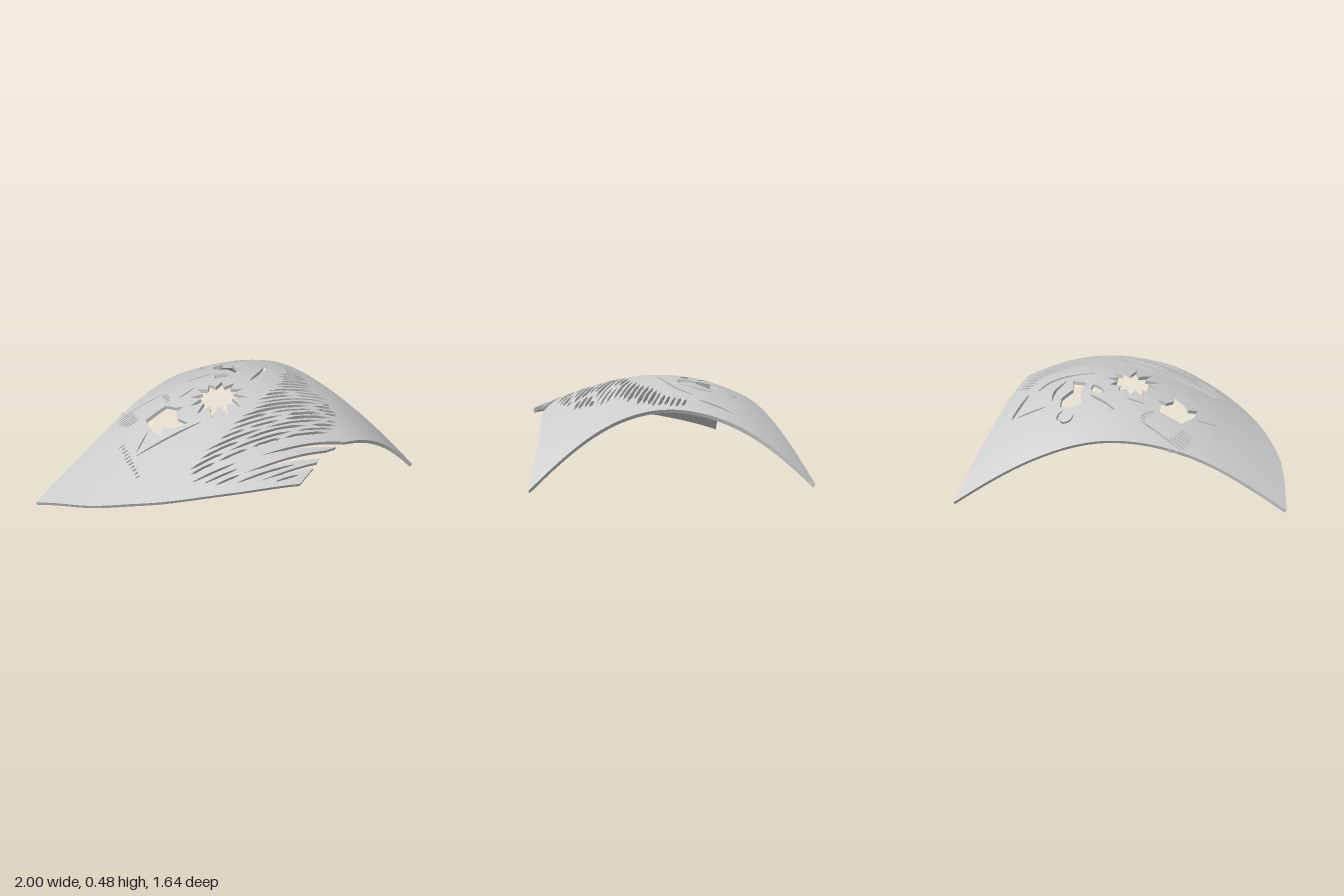
import * as THREE from 'three';

const THICK = 0.02, MAX_EDGE = 0.05;
const V = (x, z) => new THREE.Vector2(x, z);
const pairs = (a) => a.map(([x, z]) => V(x, z));

// small seeded generator
let seed = 7;
const rand = () => (seed = (seed * 16807) % 2147483647) / 2147483647;

// ---- swept edges of the dome and its crest, as x, z, height
const leftEdge = [[.19, .82, .27], [-.1, .77, .255], [-.4, .68, .21], [-.6, .58, .17], [-.8, .43, .12], [-1, .17, .02]];
const rearEdge = [[-1, .17, .02], [-.6, 0, .235], [-.2, -.26, .352], [.1, -.52, .25], [.41, -.82, .015]];
const rightEdge = [[.41, -.82, .015], [.44, -.55, .235], [.5, -.3, .345], [.6, -.03, .37], [.75, .2, .275], [1, .46, .01]];
const frontEdge = [[1, .46, .01], [.8, .5, .2], [.53, .6, .32]];
const crest = [[.2, .12, .475], [-.2, .1, .42], [-.4, .12, .345], [.4, .15, .45], [.25, .4, .43], [.22, .6, .365],
  [.28, -.4, .335], [-.4, .4, .315], [-.8, .25, .127], [.62, .2, .37]];

// ---- dome height: smooth polynomial fitted through those points
const terms = (x, z) => [1, x, z, x * x, x * z, z * z, x ** 3, x * x * z, x * z * z, z ** 3, x ** 4, x * x * z * z, z ** 4];

function fitDome(samples) {
  const n = terms(0, 0).length;
  const M = Array.from({ length: n }, (_, i) => Array.from({ length: n + 1 }, (_, j) => (i === j ? 1e-5 : 0)));
  for (const [x, z, y] of samples) {
    const t = terms(x, z);
    for (let i = 0; i < n; i++) {
      for (let j = 0; j < n; j++) M[i][j] += t[i] * t[j];
      M[i][n] += t[i] * y;
    }
  }
  for (let i = 0; i < n; i++) {
    for (let r = 0; r < n; r++) {
      if (r === i) continue;
      const f = M[r][i] / M[i][i];
      for (let c = i; c <= n; c++) M[r][c] -= f * M[i][c];
    }
  }
  return M.map((row, i) => row[n] / row[i]);
}
const coef = fitDome([leftEdge, rearEdge, rightEdge, frontEdge, crest].flat());
const height = (x, z) => terms(x, z).reduce((s, t, i) => s + t * coef[i], 0);
function normalAt(p) {
  const e = 0.002;
  return new THREE.Vector3(
    (height(p.x - e, p.y) - height(p.x + e, p.y)) / (2 * e), 1,
    (height(p.x, p.y - e) - height(p.x, p.y + e)) / (2 * e)).normalize();
}
const topAt = (p) => new THREE.Vector3(p.x, height(p.x, p.y), p.y);
const bottomAt = (p) => topAt(p).addScaledVector(normalAt(p), -THICK);

// ---- plan outline: the swept edges, then a ragged fringe at the front
function outline() {
  const sweep = (a) => new THREE.SplineCurve(pairs(a)).getPoints(24).slice(0, -1);
  const fringe = pairs([[.53, .6], [.05, .625], [.46, .64], [.4, .66], [-.05, .685], [.34, .705], [.32, .725], [0, .75], [.29, .752]]);
  return [leftEdge, rearEdge, rightEdge, frontEdge].flatMap(sweep).concat(fringe);
}

// tapered slit along a path
function slit(path, half) {
  const curve = new THREE.SplineCurve(pairs(path)), n = path.length > 2 ? 12 : 5;
  const a = [], b = [];
  for (let i = 0; i <= n; i++) {
    const p = curve.getPoint(i / n), t = curve.getTangent(i / n);
    const w = half * (0.25 + 0.75 * Math.sin(Math.PI * i / n));
    a.push(V(p.x - t.y * w, p.y + t.x * w));
    b.unshift(V(p.x + t.y * w, p.y - t.x * w));
  }
  return [...a, ...b];
}

// long uneven streak, tilted slightly
function streak(x0, x1, z, h) {
  const us = [0, .25, .5, .8, 1, .8, .5, .25];
  return us.map((u, i) => {
    const side = i % 4 === 0 ? 0 : Math.sign(i - 4), x = x0 + u * (x1 - x0);
    return V(x, z + side * h * (0.6 + 0.4 * rand()) - 0.05 * x);
  });
}

// sunburst of uneven rays
function sunburst() {
  return Array.from({ length: 24 }, (_, i) => {
    const a = i * Math.PI / 12;
    const r = i % 2 ? .085 : .15 + .02 * Math.sin(a) + .014 * (rand() - .5);
    return V(-.01 + r * Math.cos(a), .165 + r * Math.sin(a));
  });
}

// seated figure at the bow
function bowFigure() {
  return pairs([[-.38, .1], [-.26, .067], [-.225, .126], [-.185, .147], [-.235, .163], [-.245, .217],
    [-.21, .28], [-.29, .27], [-.33, .235], [-.355, .28], [-.385, .2]]);
}

// rowing figure: body, leg, back, arm, head
function rower() {
  const head = [0, 1, 2, 3, 4, 5].map((i) => 2.4 + i * .9).map((a) => [.1 + .042 * Math.cos(a), -.275 + .042 * Math.sin(a)]);
  return [
    pairs([[.1, -.21], [.165, -.24], [.2, -.185], [.19, -.1], [.245, -.035], [.165, -.015], [.14, -.1], [.085, -.16]]),
    pairs([[.06, -.06], [.11, -.05], [.13, 0], [.08, 0], [.04, -.02]]),
    slit([[.235, -.22], [.27, -.15], [.275, -.05]], .008),
    slit([[-.09, -.1], [.08, -.088]], .011),
    slit(head, .006)
  ];
}

// oar, blade, stern and bow lines of the boat
function boatLines() {
  return [
    slit([[.24, -.265], [.35, -.375]], .005),
    slit([[.372, -.39], [.405, -.21]], .01),
    slit([[-.18, .055], [-.08, .015]], .006),
    slit([[.37, -.17], [.355, -.08], [.3, 0], [.2, .095]], .012),
    slit([[-.5, .318], [-.15, .312]], .007),
    slit([[-.49, .295], [-.4, .2]], .004)
  ];
}

function along(table, z) {
  let i = 0;
  while (i < table.length - 2 && z > table[i + 1][0]) i++;
  const [a, p] = table[i], [b, q] = table[i + 1];
  return p + (q - p) * THREE.MathUtils.clamp((z - a) / (b - a), 0, 1);
}

// water streaks between the hull and the right edge
function water() {
  const left = [[-.16, .43], [0, .42], [.1, .37], [.2, .28], [.35, .09], [.43, -.07], [.54, -.32], [.58, -.3]];
  const right = [[-.16, .49], [0, .56], [.2, .54], [.3, .58], [.42, .58], [.58, .46]];
  const rows = [];
  for (let z = -.16; z < .575; z += .028) {
    let x = along(left, z) + .03 * rand();
    const end = along(right, z) + .04 * (rand() - .5);
    while (end - x > .04) {
      const x1 = Math.min(end, x + .12 + .3 * rand());
      rows.push(streak(x, x1, z, .007 + .0055 * rand()));
      x = x1 + .012 + .02 * rand();
    }
  }
  // shorter ones beside the ragged fringe
  for (let i = 0; i < 3; i++) rows.push(slit([[-.3 + .05 * i, .625 + .032 * i], [-.08, .62 + .033 * i]], .006));
  rows.push(slit([[-.1, .719], [.2, .716]], .006), slit([[.08, .776], [.2, .773]], .005));
  return rows;
}

// hatching round the bow figure's head, and dashes off the bow
function hatching() {
  const rows = [];
  for (let k = 0; k < 9; k++) {
    const z = -.1 + .02 * k, w = .15 * Math.sqrt(1 - ((z + .01) / .12) ** 2);
    const spans = z > -.045 ? [[-.36 - w, -.4], [-.25, -.36 + w]] : [[-.36 - w, -.36 + w]];
    for (const [a, b] of spans) if (b - a > .02) rows.push(streak(a, b, z - .018, .006));
  }
  for (let z = .2; z < .47; z += .025) rows.push(streak(-.56 + .02 * rand(), -.52, z - .03, .005));
  return rows;
}

// halve long edges so flat pieces follow the dome
function splitTriangle(a, b, c, out) {
  const ab = a.distanceTo(b), bc = b.distanceTo(c), ca = c.distanceTo(a), m = Math.max(ab, bc, ca);
  if (m <= MAX_EDGE) { out.push(a, b, c); return; }
  if (m === bc) [a, b, c] = [b, c, a];
  else if (m === ca) [a, b, c] = [c, a, b];
  const mid = a.clone().add(b).multiplyScalar(.5);
  splitTriangle(a, mid, c, out);
  splitTriangle(mid, b, c, out);
}
function splitEdge(a, b, out) {
  if (a.distanceTo(b) <= MAX_EDGE) { out.push([a, b]); return; }
  const mid = a.clone().add(b).multiplyScalar(.5);
  splitEdge(a, mid, out);
  splitEdge(mid, b, out);
}

function makeMesh(name, points, normals) {
  const g = new THREE.BufferGeometry().setFromPoints(points);
  if (normals) g.setAttribute('normal', new THREE.Float32BufferAttribute(normals.flatMap((n) => [n.x, n.y, n.z]), 3));
  else g.computeVertexNormals();
  const mesh = new THREE.Mesh(g, new THREE.MeshStandardMaterial({ color: 0xcccccc, side: THREE.DoubleSide }));
  mesh.name = name;
  return mesh;
}

export function createModel() {
  seed = 7;
  const rim = outline(), holes = [bowFigure(), sunburst(), ...rower(), ...boatLines(), ...water(), ...hatching()];
  if (THREE.ShapeUtils.area(rim) < 0) rim.reverse();
  for (const h of holes) if (THREE.ShapeUtils.area(h) > 0) h.reverse();

  // upper and lower skins
  const all = [rim, ...holes].flat(), flat = [], under = [];
  for (const [i, j, k] of THREE.ShapeUtils.triangulateShape(rim, holes)) {
    const a = all[i], b = all[j], c = all[k];
    const up = (b.y - a.y) * (c.x - a.x) - (b.x - a.x) * (c.y - a.y) > 0;
    splitTriangle(a, up ? b : c, up ? c : b, flat);
  }
  for (let i = 0; i < flat.length; i += 3) under.push(flat[i], flat[i + 2], flat[i + 1]);

  // walls round the rim and every opening
  const walls = [], edges = [];
  for (const loop of [rim, ...holes]) loop.forEach((p, i) => splitEdge(p, loop[(i + 1) % loop.length], edges));
  for (const [a, b] of edges) walls.push(topAt(a), topAt(b), bottomAt(a), topAt(b), bottomAt(b), bottomAt(a));

  const model = new THREE.Group();
  model.name = 'piercedDome';
  model.add(
    makeMesh('upperSkin', flat.map(topAt), flat.map(normalAt)),
    makeMesh('lowerSkin', under.map(bottomAt), under.map((p) => normalAt(p).negate())),
    makeMesh('cutEdges', walls));
  const box = new THREE.Box3().setFromObject(model), mid = box.getCenter(new THREE.Vector3());
  for (const part of model.children) part.position.set(-mid.x, -box.min.y, -mid.z);
  return model;
}
